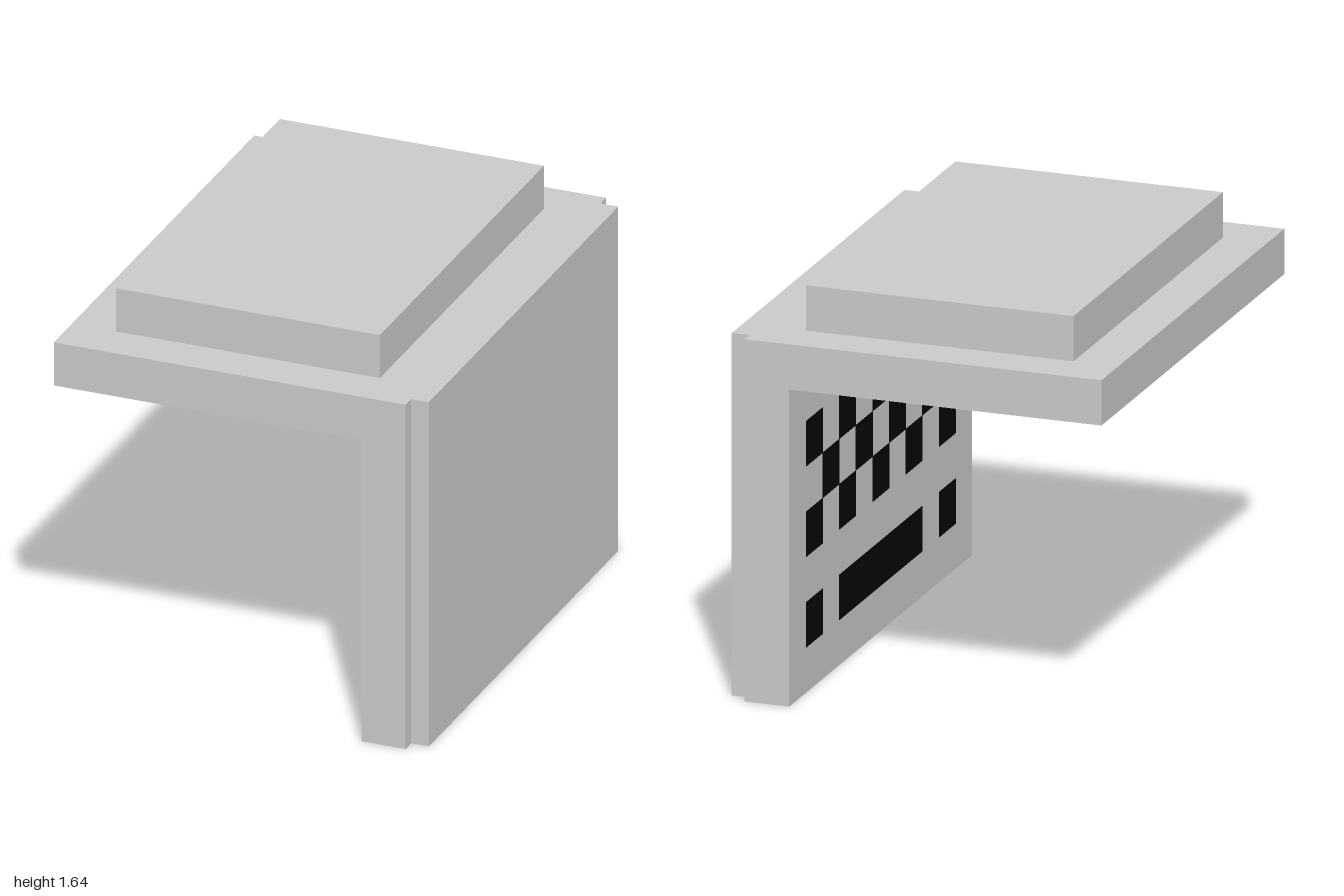
import * as THREE from 'three';

const U = 2 / 11;                 // block unit: the body is 11 wide, 8 deep and 8 high
const BACK = 0.073;               // thickness of the back panel
const X0 = -(8 * U + BACK) / 2;   // free edge of the screen slab
const PROUD = 0.002;              // how far dark inlays stand out

export function createModel() {
  const model = new THREE.Group();
  const grey = new THREE.MeshStandardMaterial({ color: 0xcccccc, flatShading: true });
  const black = new THREE.MeshStandardMaterial({ color: 0x050505, flatShading: true });

  // Box from minimum and maximum corners
  function box(name, [x0, y0, z0], [x1, y1, z1], material, parent = model) {
    const mesh = new THREE.Mesh(new THREE.BoxGeometry(x1 - x0, y1 - y0, z1 - z0), material);
    mesh.position.set((x0 + x1) / 2, (y0 + y1) / 2, (z0 + z1) / 2);
    mesh.name = name;
    parent.add(mesh);
  }

  const inner = X0 + 7 * U, outer = X0 + 8 * U;
  const under = 7 * U, top = 8 * U;

  // Upright keyboard half, horizontal screen half
  box('keyboardBase', [inner, 0, -1], [outer, under, 1], grey);
  box('screenSlab', [X0, under, -1], [outer, top, 1], grey);

  // Panel on the outside of the base and raised cover on the slab
  box('backPanel', [outer, 0, -0.945], [outer + BACK, top, 0.945], grey);
  box('raisedCover', [X0 + U, top, -4.5 * U], [inner, top + U, 4.5 * U], grey);

  // Dark screen on the underside of the slab
  box('screen', [X0 + U, under - PROUD, -4.5 * U], [inner, under + PROUD, 4.5 * U], black);

  // Keys on the inner face: [row, first column, width], columns run from -z
  const keys = [[1, 1, 1], [1, 3, 5], [1, 9, 1]];
  for (let row = 3; row <= 5; row++) {
    for (let col = row % 2 ? 1 : 2; col <= 9; col += 2) keys.push([row, col, 1]);
  }
  const keyboard = new THREE.Group();
  keyboard.name = 'keyboard';
  model.add(keyboard);
  for (const [row, col, width] of keys) {
    const z = -1 + col * U;
    box(width > 1 ? 'spaceBar' : 'key', [inner - PROUD, row * U, z],
      [inner + PROUD, (row + 1) * U, z + width * U], black, keyboard);
  }
  return model;
}
